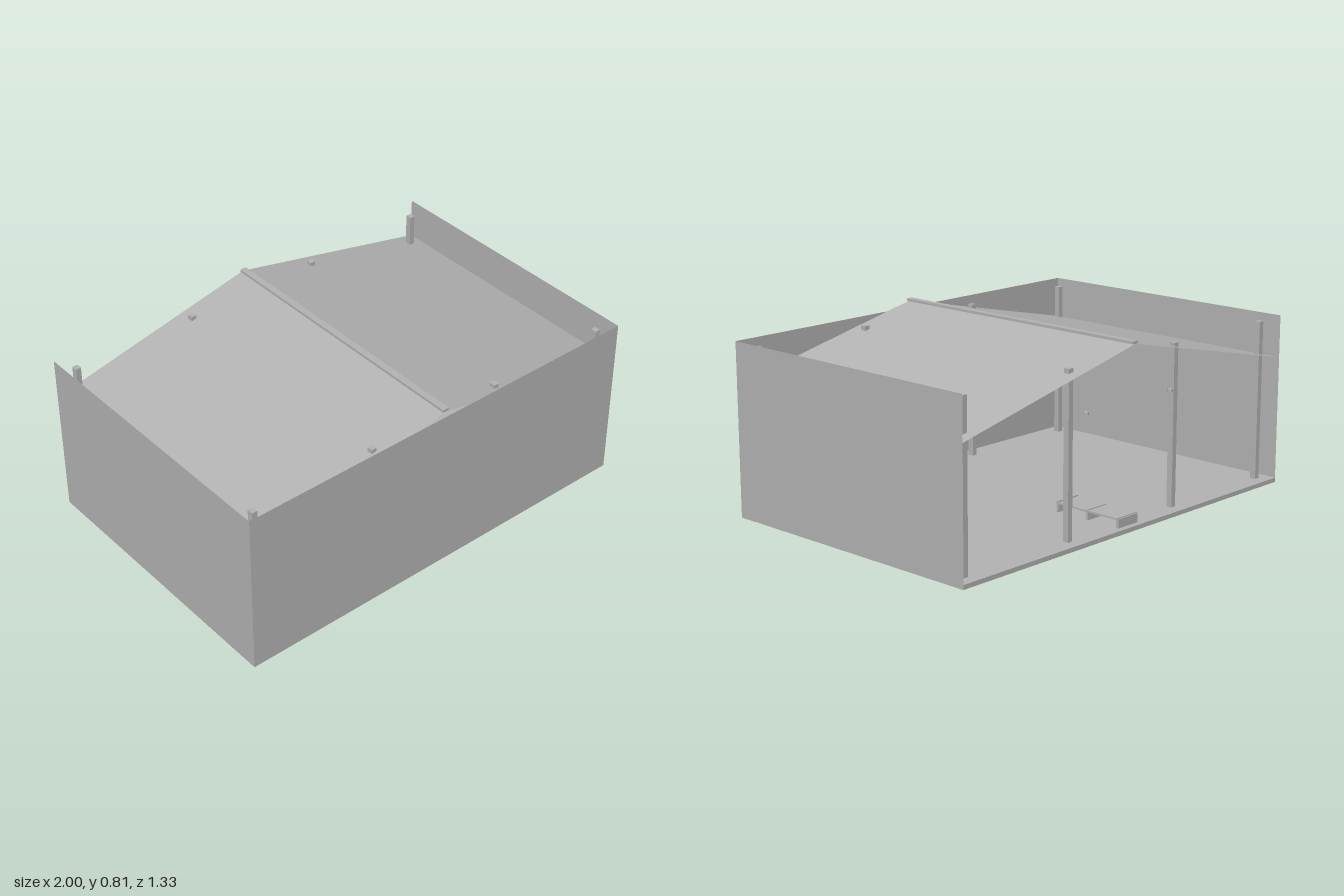
import * as THREE from 'three';

export function createModel() {
  const model = new THREE.Group();
  const grey = new THREE.MeshStandardMaterial({ color: 0xb4b4b4, side: THREE.DoubleSide });
  grey.name = 'plain grey';

  const HALF_W = 1, HALF_D = 0.667, WALL = 0.77, FLOOR = 0.02;
  const RIDGE = 0.8, EAVE = 0.58;

  function add(name, geometry, x, y, z) {
    const mesh = new THREE.Mesh(geometry, grey);
    mesh.name = name;
    mesh.position.set(x, y, z);
    model.add(mesh);
    return mesh;
  }
  // Box placed by the height of its underside
  const box = (name, w, h, d, x, bottom, z) =>
    add(name, new THREE.BoxGeometry(w, h, d), x, bottom + h / 2, z);

  // Floor and the three sheet walls; the back stays open
  box('floor', HALF_W * 2, FLOOR, HALF_D * 2, 0, 0, 0);
  add('frontWall', new THREE.PlaneGeometry(HALF_W * 2, WALL), 0, WALL / 2, HALF_D);
  for (const s of [-1, 1]) {
    const side = s > 0 ? 'left' : 'right';
    add(side + 'Wall', new THREE.PlaneGeometry(HALF_D * 2, WALL), s * HALF_W, WALL / 2, 0)
      .rotation.y = s * Math.PI / 2;

    // Sloping roof sheet, from ridge to eave
    const sheet = new THREE.PlaneGeometry(HALF_W, HALF_D * 2).rotateX(-Math.PI / 2);
    const p = sheet.attributes.position;
    for (let i = 0; i < p.count; i++) {
      const x = p.getX(i) + s * HALF_W / 2;
      p.setXYZ(i, x, RIDGE + (EAVE - RIDGE) * Math.abs(x), p.getZ(i));
    }
    sheet.computeVertexNormals();
    add(side + 'Roof', sheet, 0, 0, 0);

    // Small hanging lamp near the open side
    add(side + 'Lamp', new THREE.CylinderGeometry(0.011, 0.011, 0.01, 12), s * 0.267, 0.554, -0.638);
  }
  box('ridgeCap', 0.03, 0.012, HALF_D * 2, 0, 0.8, 0);

  // Posts in two rows, passing through the roof
  for (const z of [-0.6, 0.6])
    for (const x of [-0.933, -0.333, 0.333, 0.933])
      box('post', 0.025, 0.745 - FLOOR, 0.028, x, FLOOR, z);

  // Low bench: three upright boards carrying two slabs
  [[-0.635, 0.04], [-0.467, 0.04], [-0.3, 0.05]].forEach(([z, h]) =>
    box('benchBoard', 0.125, h, 0.012, 0, FLOOR, z));
  for (const z of [-0.555, -0.386])
    box('benchSlab', 0.13, 0.008, 0.16, 0, 0.056, z);

  return model;
}
